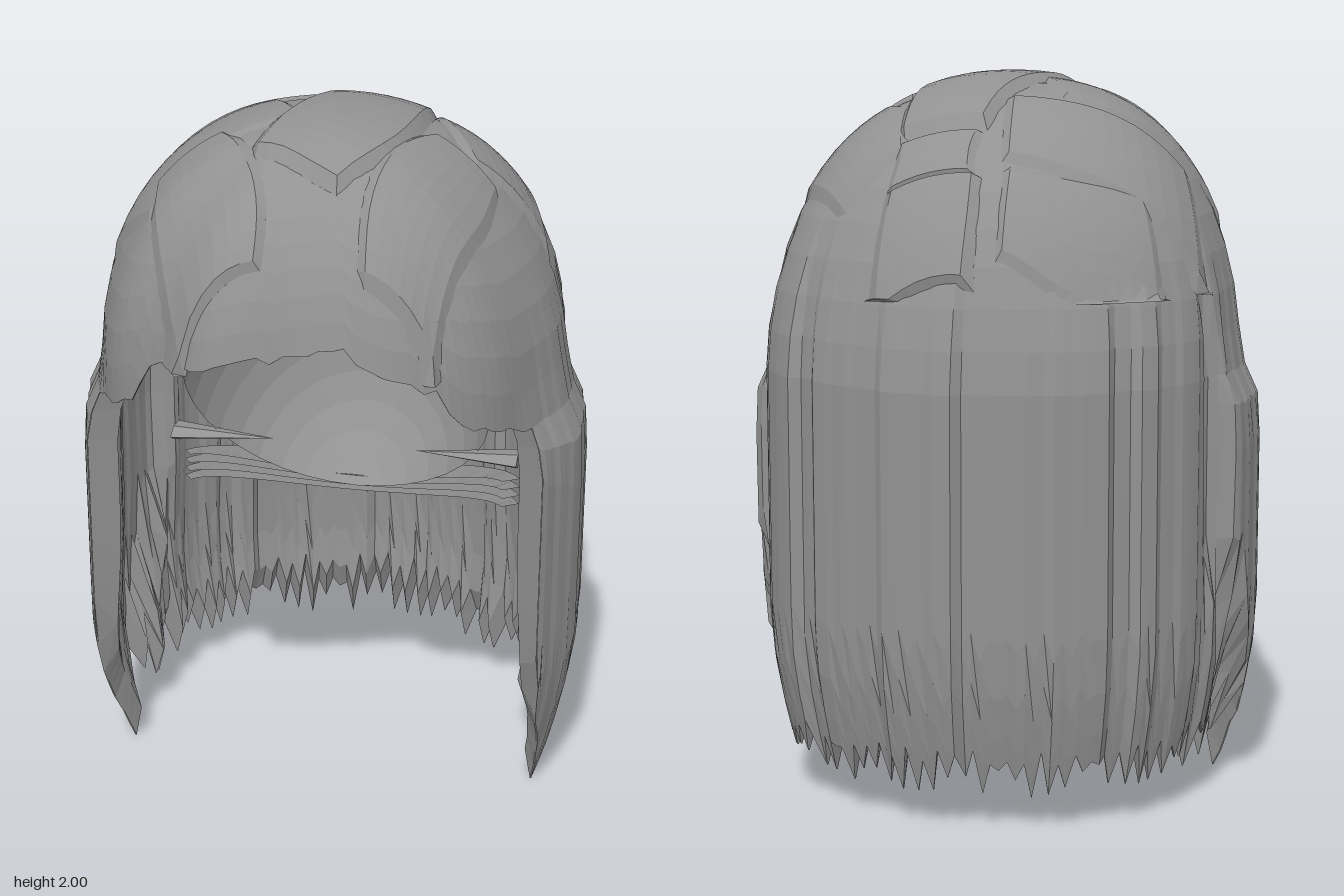
import * as THREE from 'three';

const hair = new THREE.MeshStandardMaterial({ color: 0x929292, flatShading: true, side: THREE.DoubleSide });
hair.name = 'hair grey';

const RAD = Math.PI / 180;
const MID = 1.2, DOME = 0.775, POWER = 2.25;
const clamp = THREE.MathUtils.clamp, smooth = THREE.MathUtils.smoothstep;
const hash = n => { const s = Math.sin(n * 127.1 + 3.7) * 43758.5453; return s - Math.floor(s); };
const bump = (d, at, w) => Math.exp(-(((d - at) / w) ** 2));
const round = k => (1 - k ** POWER) ** (1 / POWER);

// piecewise linear lookup in [key, value] pairs
function lookup(pairs, k) {
  for (let i = 1; i < pairs.length; i++) {
    const [a, va] = pairs[i - 1], [b, vb] = pairs[i];
    if (k <= b) return va + (vb - va) * clamp((k - a) / (b - a), 0, 1);
  }
  return pairs[pairs.length - 1][1];
}

// plan radius of the hair at an angle (degrees, 0 = front, 90 = left)
function planRadius(deg) {
  const d = ((deg + 540) % 360) - 180, c = Math.cos(d * RAD), s = Math.sin(d * RAD);
  const depth = c > 0 ? 0.635 : 0.7;
  return 1 / Math.hypot(s / 0.645, c / depth) + 0.075 * bump(d, -17, 14) + 0.045 * bump(d, 27, 14)
    + 0.04 * bump(Math.abs(d), 47, 14) + 0.035 * bump(Math.abs(d), 125, 22);
}

// point on the hair surface, pushed inwards by inset
function surface(deg, y, inset) {
  const d = Math.abs(((deg + 540) % 360) - 180), k = clamp((y - MID) / DOME, 0, 1);
  let r = planRadius(deg);
  const low = 1 - smooth(y, 1.08, 1.26), strands = 1 - smooth(y, 1.2, 1.7);
  const edge = 96 + 16 * smooth(y, 0.15, 0.8) + 8 * smooth(y, 1.2, 1.7);
  r += low * 0.06 * smooth(d, 55, 66) * (1 - smooth(d, edge - 6, edge));
  r += strands * 0.028 * (hash(Math.floor(deg / 6.5)) - 0.5) * smooth(d, 64, 80);
  r -= strands * 0.03 * bump(d, edge, 2.5);
  r *= round(k);
  if (y < 0.5) r *= 1 - 0.14 * ((0.5 - y) / 0.5) ** 1.5;
  r *= 1 - inset / 0.7;
  const yy = y > MID ? MID + (y - MID) * (1 - inset / 0.7) : y;
  return [r * Math.sin(deg * RAD), yy, r * Math.cos(deg * RAD) + 0.09 * k];
}

// grid of points to a surface
function gridGeometry(columns) {
  const n = columns[0].length, index = [];
  for (let i = 0; i < columns.length - 1; i++)
    for (let j = 0; j < n - 1; j++) {
      const a = i * n + j, d = a + n;
      index.push(a, a + 1, d + 1, a, d + 1, d);
    }
  const g = new THREE.BufferGeometry();
  g.setAttribute('position', new THREE.Float32BufferAttribute(columns.flat(2), 3));
  g.setIndex(index);
  g.computeVertexNormals();
  return g;
}

// thick sector of hair: down the outside, up the inside
function hairSector(from, to, count, bottomAt, thickness) {
  const columns = [];
  for (let i = 0; i <= count; i++) {
    const deg = from + (to - from) * i / count;
    const end = bottomAt(deg, i), ys = [];
    const last = Math.acos(clamp((end - MID) / DOME, 0, 1));
    for (let j = 0; j <= 11; j++) ys.push(MID + DOME * Math.cos(last * j / 11));
    if (end < MID) for (const k of [0.08, 0.2, 0.45, 0.65, 0.8, 0.92, 1]) ys.push(MID + (end - MID) * k);
    const closed = i === 0 || i === count;
    const outer = ys.map(y => surface(deg, y, 0));
    const inner = ys.map((y, j) => surface(deg, y,
      closed ? 0.001 : thickness * (j === ys.length - 1 ? 0.05 : 0.6 + 0.4 * smooth(y, 0.2, 0.8))));
    columns.push([...outer, ...inner.reverse()]);
  }
  return gridGeometry(columns);
}

// point of the dome above a plan position
function onDome(x, z, lift) {
  let k = 0.5;
  for (let i = 0; i < 12; i++) {
    const zz = z - 0.09 * k;
    const r = Math.min(0.97, Math.hypot(x, zz) / planRadius(Math.atan2(x, zz) / RAD));
    k = (k + round(r)) / 2;
  }
  const s = 1 + lift;
  return [x * s, MID + DOME * k * s, z * s];
}

// raised lock lying on the dome, path of [x, z, width]
function domeLock(path, lift) {
  const curve = new THREE.CatmullRomCurve3(path.map(p => new THREE.Vector3(p[0], p[2], p[1])));
  const columns = [], steps = 14, across = 8;
  for (let i = 0; i <= steps; i++) {
    const p = curve.getPoint(i / steps), t = curve.getTangent(i / steps);
    const len = Math.hypot(t.x, t.z), row = [];
    const tip = i === 0 || i === steps;
    for (let j = 0; j <= across; j++) {
      const u = j / across - 0.5, edge = j === 0 || j === across || tip;
      const w = p.y * u;
      row.push(onDome(p.x + w * t.z / len, p.z - w * t.x / len, edge ? -0.012 : lift - 0.02 * u * u));
    }
    columns.push(row);
  }
  return gridGeometry(columns);
}

// ragged sheet curving round the nape, sloping down to the back
function napeLayer(level) {
  const columns = [];
  for (let i = 0; i <= 32; i++) {
    const a = (-72 + 144 * i / 32) * RAD, s = Math.sin(a), c = Math.cos(a);
    const jag = 0.03 * (hash(i + level * 40) - 0.5);
    const y = 0.64 + 0.016 * level + (0.1 + 0.012 * level) * s * s;
    columns.push([[0.49 * s, y + 0.015 + jag * 0.5, -0.05 - 0.31 * c + jag],
      [0.53 * s, y - 0.015, -0.1 - 0.45 * c]]);
  }
  return gridGeometry(columns);
}

export function createModel() {
  const group = new THREE.Group();
  const add = (name, geometry) => {
    const m = new THREE.Mesh(geometry, hair);
    m.name = name;
    group.add(m);
    return m;
  };

  // fringe over the forehead
  const fringeLine = [[-64, 1.2], [-50, 1.25], [-39, 1.31], [-36, 1.41], [-28, 1.43], [-16, 1.47], [0, 1.5],
    [15, 1.52], [25, 1.44], [36, 1.4], [39, 1.31], [52, 1.24], [64, 1.2]];
  add('fringe', hairSector(-64, 64, 44,
    (d, i) => Math.max(MID, lookup(fringeLine, d) + 0.025 * (hash(i) - 0.5)), 0.05));

  // long side locks and back curtain with ragged tips
  const hem = [[64, 0.5], [68, 0.3], [74, 0.17], [80, 0], [86, 0.15], [91, 0.26], [96, 0.2], [180, 0.18]];
  add('backCurtain', hairSector(64, 296, 116, (d, i) => {
    const a = d > 180 ? 360 - d : d;
    const jag = a > 90 ? (i % 2 ? -0.1 * hash(i + 9) : 0.06 * hash(i + 5)) : 0;
    return lookup(hem, a) + jag;
  }, 0.09));

  // overlapping locks on the crown
  const locks = {
    crownSweep: [0.032, [[0.11, -0.35, 0.27], [0.1, -0.1, 0.34], [0.05, 0.18, 0.4], [-0.04, 0.4, 0.3]]],
    crownBand: [0.018, [[0.11, -0.47, 0.27], [0.11, -0.4, 0.25], [0.11, -0.34, 0.27]]],
    backBand: [0.025, [[0.1, -0.64, 0.3], [0.1, -0.55, 0.3], [0.1, -0.46, 0.28]]],
    rightCrownLock: [0.018, [[-0.04, -0.3, 0.3], [-0.28, -0.26, 0.32], [-0.58, -0.16, 0.3]]],
    rightBackLock: [0.015, [[-0.08, -0.52, 0.18], [-0.27, -0.5, 0.2], [-0.5, -0.38, 0.18]]],
    rightSideLock: [0.015, [[-0.1, 0.0, 0.3], [-0.32, 0.12, 0.32], [-0.52, 0.28, 0.3]]],
    rightFringeLock: [0.02, [[-0.36, 0.16, 0.2], [-0.28, 0.36, 0.3], [-0.2, 0.54, 0.3], [-0.17, 0.64, 0.24]]],
    leftBackLock: [0.018, [[0.27, -0.42, 0.2], [0.38, -0.2, 0.3], [0.5, 0.04, 0.26]]],
    leftFringeLock: [0.02, [[0.38, 0.04, 0.2], [0.33, 0.25, 0.3], [0.29, 0.45, 0.28], [0.28, 0.6, 0.22]]]
  };
  for (const [name, [lift, path]] of Object.entries(locks)) add(name, domeLock(path, lift));

  // hollow cap under the hair, open to the front and below
  const cap = add('innerCap', new THREE.SphereGeometry(1, 24, 18, Math.PI, Math.PI).rotateX(35 * RAD));
  cap.scale.set(0.44, 0.51, 0.55);
  cap.position.set(0, 1.1, -0.02);

  // stacked ragged layers beneath the cap
  for (let i = 0; i < 4; i++) add('napeLayer' + (i + 1), napeLayer(i));

  // thin strands crossing the cap at the sides
  for (const side of [-1, 1]) {
    const strand = add(side > 0 ? 'leftInnerStrand' : 'rightInnerStrand', new THREE.ConeGeometry(0.022, 0.3, 5));
    strand.rotation.z = side * Math.PI / 2;
    strand.position.set(side * 0.36, 0.9, -0.15);
    strand.scale.z = 2.5;
  }
  return group;
}
